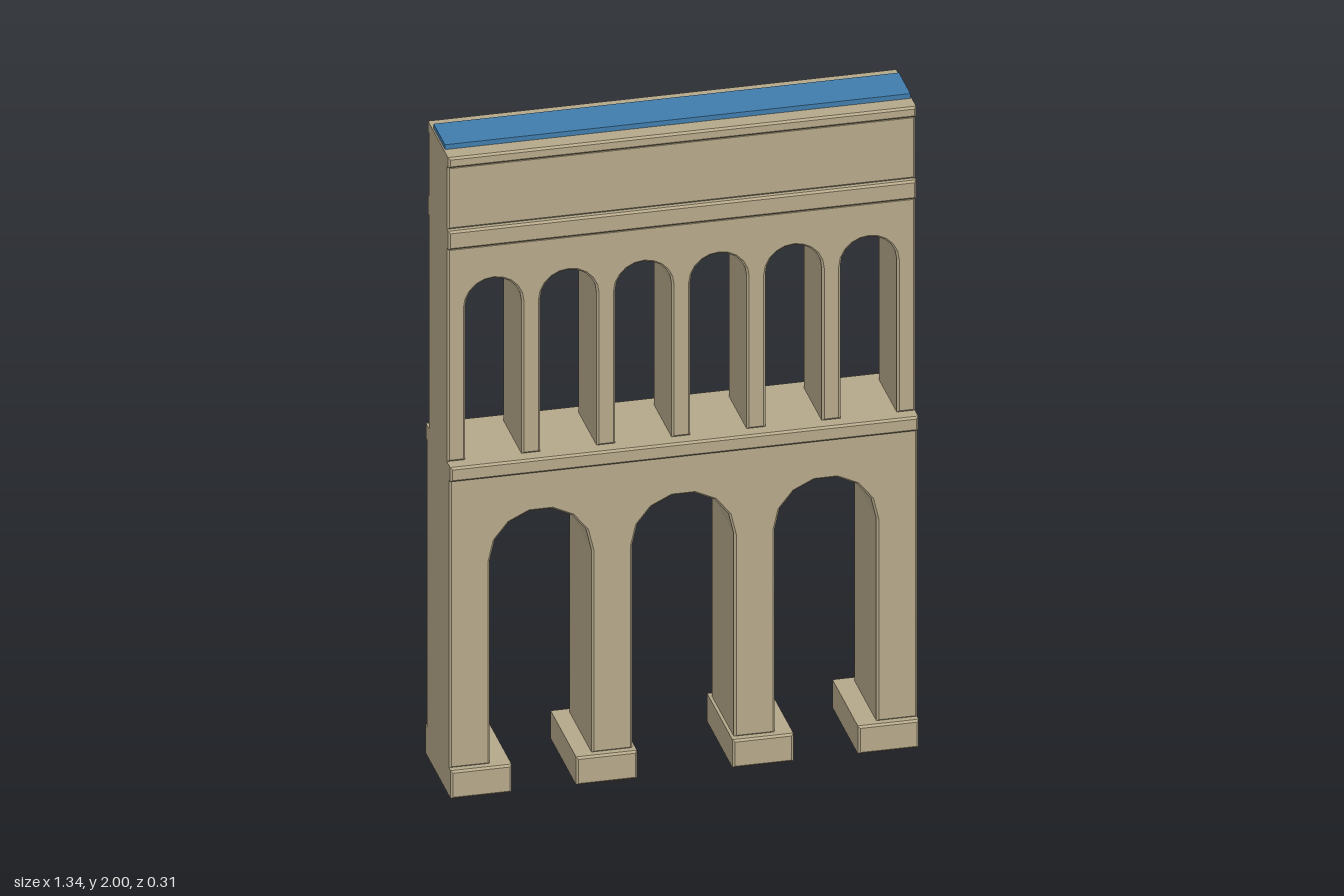
import * as THREE from 'three';

const HALF = 0.672; // half length of the whole structure
const BEVEL = 0.006;

// Extrude an outline along z, centred, with a fine chamfer inside its bounds
function slab(points, halfDepth, bevel = BEVEL) {
  const geo = new THREE.ExtrudeGeometry(new THREE.Shape(points), {
    depth: 2 * (halfDepth - bevel),
    bevelEnabled: true,
    bevelSize: bevel,
    bevelThickness: bevel,
    bevelOffset: -bevel,
    bevelSegments: 1,
  });
  return geo.translate(0, 0, -(halfDepth - bevel));
}

function block(x0, x1, y0, y1, halfDepth, bevel) {
  return slab([
    new THREE.Vector2(x0, y0), new THREE.Vector2(x1, y0),
    new THREE.Vector2(x1, y1), new THREE.Vector2(x0, y1),
  ], halfDepth, bevel);
}

// Wall outline whose lower edge is cut by round-headed openings
function arcade(y0, y1, count, spacing, radius, spring, segments, halfDepth) {
  const pts = [new THREE.Vector2(-HALF, y0)];
  for (let i = 0; i < count; i++) {
    const cx = (i - (count - 1) / 2) * spacing;
    pts.push(new THREE.Vector2(cx - radius, y0));
    for (let s = 0; s <= segments; s++) {
      const a = Math.PI * (1 - s / segments);
      pts.push(new THREE.Vector2(cx + radius * Math.cos(a), spring + radius * Math.sin(a)));
    }
    pts.push(new THREE.Vector2(cx + radius, y0));
  }
  pts.push(new THREE.Vector2(HALF, y0), new THREE.Vector2(HALF, y1), new THREE.Vector2(-HALF, y1));
  return slab(pts, halfDepth);
}

export function createModel() {
  const stone = new THREE.MeshStandardMaterial({ color: 0xb5a88a });
  stone.name = 'stone';
  const water = new THREE.MeshStandardMaterial({ color: 0x3f7cac });
  water.name = 'water';

  const model = new THREE.Group();
  model.name = 'aqueduct';
  const add = (name, geometry, material = stone) => {
    const mesh = new THREE.Mesh(geometry, material);
    mesh.name = name;
    model.add(mesh);
  };

  // Pier footings
  for (const [x0, x1] of [[0.137, 0.312], [0.497, HALF]]) {
    add('leftFooting', block(x0, x1, 0, 0.087, 0.154));
    add('rightFooting', block(-x1, -x0, 0, 0.087, 0.154));
  }

  // Two tiers of arches with a string course between them
  add('lowerArcade', arcade(0.085, 0.987, 3, 0.409, 0.146, 0.718, 7, 0.133));
  add('stringCourse', block(-HALF, HALF, 0.985, 1.03, 0.148));
  add('upperArcade', arcade(1.03, 1.697, 6, 0.2155, 0.081, 1.507, 10, 0.11));

  // Channel walls between two mouldings
  add('lowerMoulding', block(-HALF, HALF, 1.697, 1.755, 0.123));
  add('channelWall', block(-HALF, HALF, 1.755, 1.952, 0.11));
  add('cornice', block(-HALF, HALF, 1.952, 1.985, 0.123));

  // Water running along the top
  const surface = new THREE.BoxGeometry(1.336, 0.015, 0.134);
  surface.translate(0, 1.9925, 0);
  add('waterSurface', surface, water);

  return model;
}
